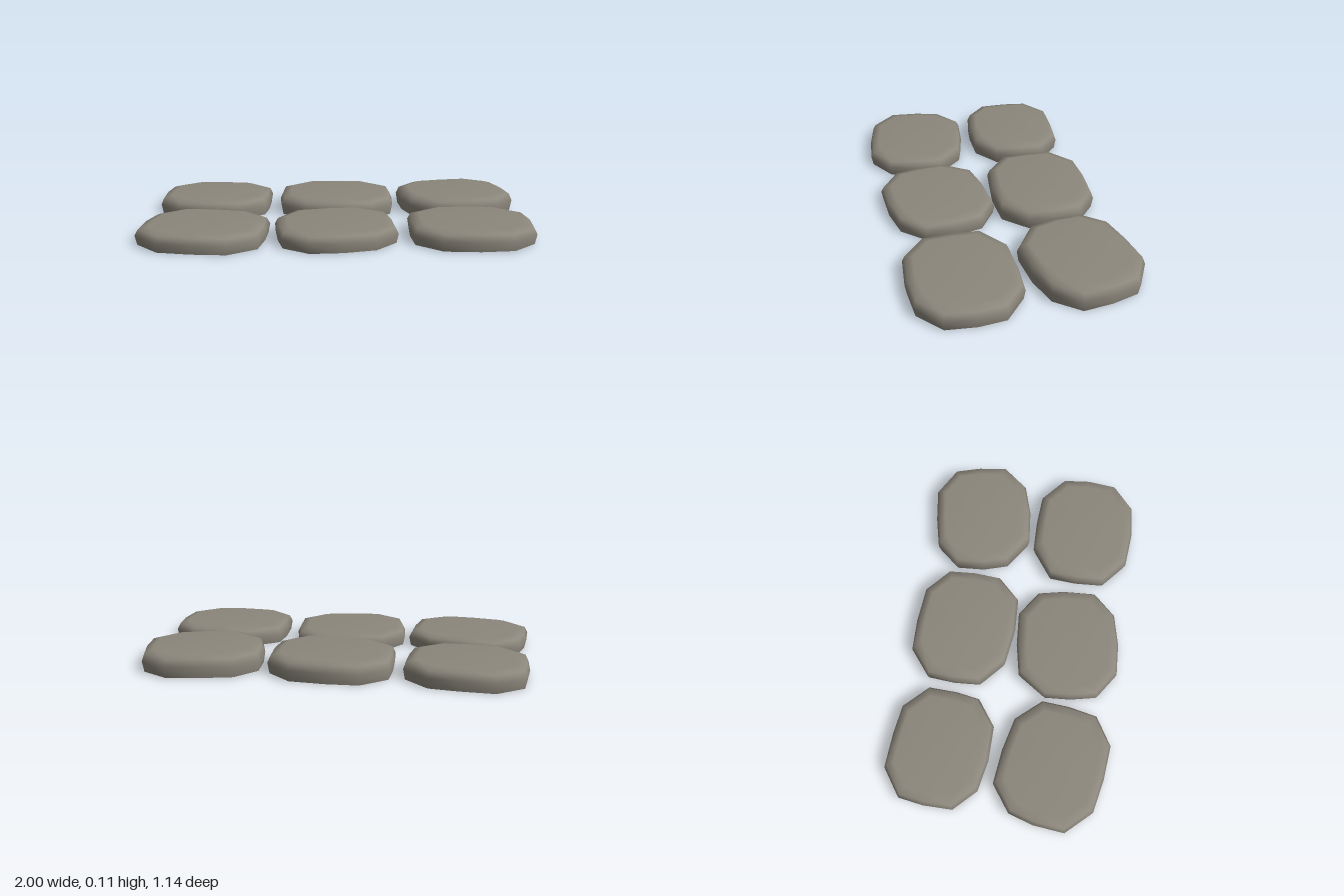
import * as THREE from 'three';

// Outline of each stone seen from above, [x, z] pairs clockwise, with its height
const STONES = [
  { name: 'backRightStone', h: 0.10, pts: [-.81, -.56, -.63, -.55, -.48, -.53, -.36, -.41, -.365, -.26, -.385, -.14, -.52, -.04, -.70, -.04, -.86, -.07, -.97, -.18, -.97, -.33, -.95, -.46] },
  { name: 'backMiddleStone', h: 0.105, pts: [-.165, -.54, 0, -.545, .19, -.53, .315, -.42, .325, -.28, .315, -.14, .2, -.02, .02, -.01, -.17, -.035, -.3, -.15, -.31, -.29, -.3, -.43] },
  { name: 'backLeftStone', h: 0.108, pts: [.46, -.51, .625, -.55, .795, -.575, .94, -.495, .98, -.36, 1, -.205, .9, -.08, .74, -.03, .56, -.01, .41, -.11, .37, -.24, .36, -.39] },
  { name: 'frontRightStone', h: 0.09, pts: [-.81, 0, -.63, .02, -.46, .06, -.345, .19, -.355, .33, -.385, .48, -.53, .57, -.705, .555, -.88, .52, -1, .39, -.985, .23, -.945, .1] },
  { name: 'frontMiddleStone', h: 0.09, pts: [-.22, .045, -.055, .01, .125, -.005, .26, .085, .29, .22, .3, .39, .19, .51, .025, .55, -.145, .56, -.28, .47, -.31, .335, -.32, .195] },
  { name: 'frontLeftStone', h: 0.095, pts: [.52, .02, .685, .015, .85, .025, .98, .135, .995, .275, .98, .43, .855, .54, .685, .555, .5, .54, .37, .43, .36, .275, .37, .13] },
];

// Edge profile from the base up: [scale about the centre, fraction of height]
const PROFILE = [[0.97, 0], [1, 0.53], [0.95, 0.87], [0.81, 1]];

function stoneGeometry(pts, h) {
  const n = pts.length / 2;
  let cx = 0, cz = 0;
  for (let i = 0; i < n; i++) {
    cx += pts[2 * i] / n;
    cz += pts[2 * i + 1] / n;
  }
  const pos = [], index = [];
  const addRing = ([s, t]) => {
    const start = pos.length / 3;
    for (let i = 0; i < n; i++) {
      pos.push(cx + (pts[2 * i] - cx) * s, h * t, cz + (pts[2 * i + 1] - cz) * s);
    }
    return start;
  };
  const addCentre = (y) => pos.push(cx, y, cz) / 3 - 1;

  // Rounded side, smooth into the top
  const rings = PROFILE.map(addRing);
  const top = addCentre(h);
  // Flat underside with its own vertices, so its rim stays sharp
  const base = addRing(PROFILE[0]);
  const bottom = addCentre(0);

  for (let i = 0; i < n; i++) {
    const j = (i + 1) % n;
    for (let k = 0; k < rings.length - 1; k++) {
      const a = rings[k], b = rings[k + 1];
      index.push(a + i, b + i, b + j, a + i, b + j, a + j);
    }
    const rim = rings[rings.length - 1];
    index.push(top, rim + j, rim + i);
    index.push(bottom, base + i, base + j);
  }
  const geo = new THREE.BufferGeometry();
  geo.setAttribute('position', new THREE.Float32BufferAttribute(pos, 3));
  geo.setIndex(index);
  geo.computeVertexNormals();
  return geo;
}

export function createModel() {
  const group = new THREE.Group();
  group.name = 'pavingStones';
  const stone = new THREE.MeshStandardMaterial({ color: 0x8c877c });
  for (const { name, h, pts } of STONES) {
    const mesh = new THREE.Mesh(stoneGeometry(pts, h), stone);
    mesh.name = name;
    group.add(mesh);
  }
  return group;
}
